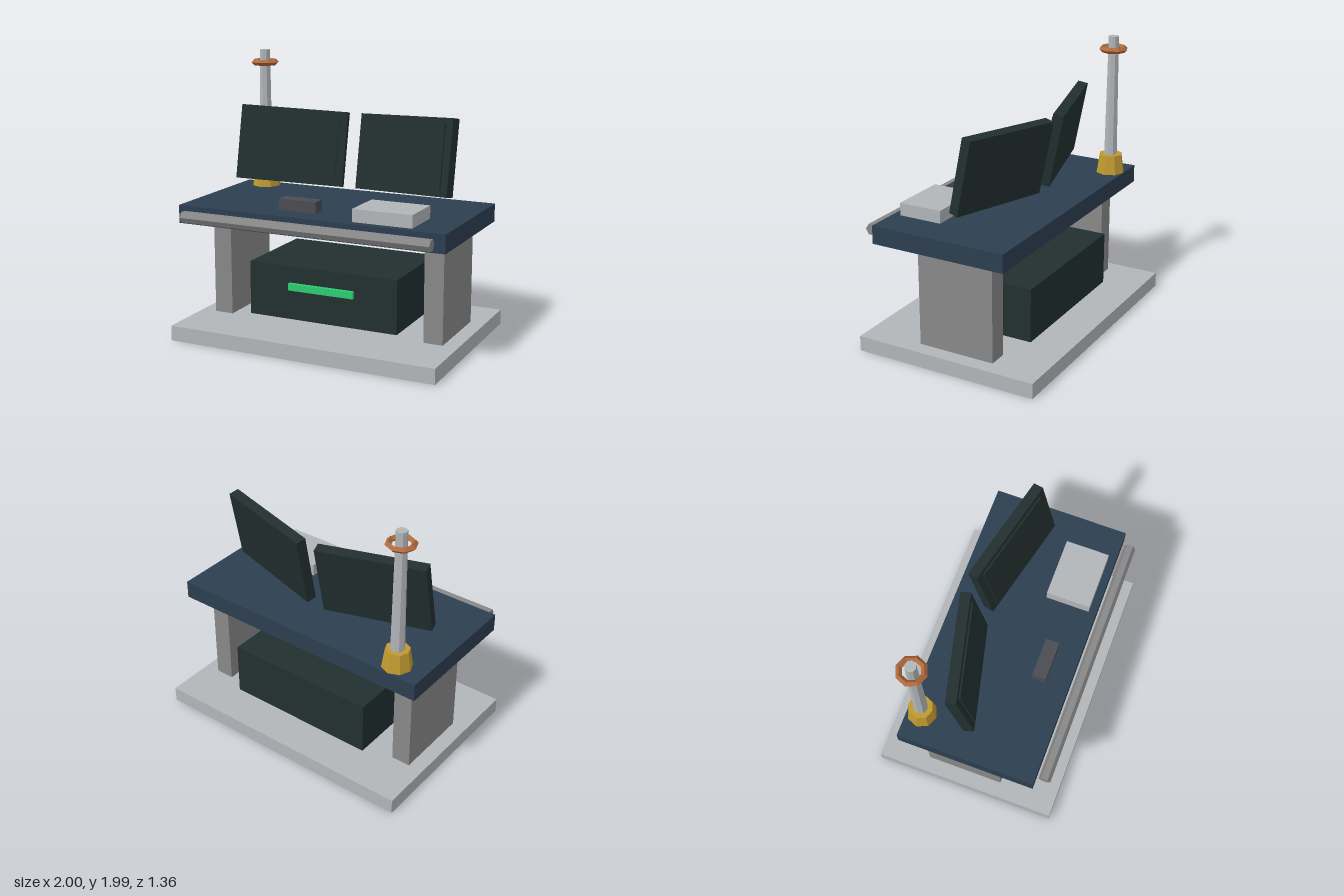
import * as THREE from 'three';

const mat = (name, color) => Object.assign(new THREE.MeshStandardMaterial({ color, flatShading: true }), { name });

export function createModel() {
  const root = new THREE.Group();
  root.name = 'workstation';

  const lightGrey = mat('light grey', 0xb2b5b9);
  const midGrey = mat('mid grey', 0x888888);
  const navy = mat('navy', 0x2c3e50);
  const dark = mat('dark green grey', 0x222f2f);
  const charcoal = mat('charcoal', 0x4a4c52);
  const green = mat('green', 0x2ecc71);
  const brass = mat('brass', 0xc09a30);
  const copper = mat('copper', 0xb06a3b);

  const add = (name, geo, material, x, y, z, parent = root) => {
    const m = new THREE.Mesh(geo, material);
    m.name = name;
    m.position.set(x, y, z);
    parent.add(m);
    return m;
  };
  // box given by its min and max on each axis
  const box = (name, material, [x0, x1], [y0, y1], [z0, z1]) =>
    add(name, new THREE.BoxGeometry(x1 - x0, y1 - y0, z1 - z0), material,
      (x0 + x1) / 2, (y0 + y1) / 2, (z0 + z1) / 2);

  // Desk structure
  box('basePlate', lightGrey, [-1, 1], [0, 0.11], [-0.68, 0.68]);
  box('rightLeg', midGrey, [-0.89, -0.75], [0.11, 0.84], [-0.32, 0.25]);
  box('leftLeg', midGrey, [0.75, 0.89], [0.11, 0.84], [-0.32, 0.25]);
  box('deskTop', navy, [-1, 1], [0.83, 0.96], [-0.465, 0.535]);

  // Cabinet under the desk
  box('cabinet', dark, [-0.57, 0.57], [0.15, 0.54], [-0.43, 0.29]);
  box('cabinetLight', green, [-0.25, 0.25], [0.37, 0.42], [0.285, 0.32]);

  // Six-sided rail along the front edge
  const rail = add('frontRail', new THREE.CylinderGeometry(0.043, 0.043, 1.86, 6), midGrey, 0, 0.895, 0.595);
  rail.rotation.z = Math.PI / 2;

  // Items on the desk
  box('tray', lightGrey, [0.32, 0.75], [0.96, 1.05], [0.16, 0.48]);
  box('smallBox', charcoal, [-0.29, -0.005], [0.96, 1.04], [0.27, 0.37]);

  // Two monitors, tilted back and turned inward
  for (const [name, side] of [['rightMonitor', -1], ['leftMonitor', 1]]) {
    const monitor = new THREE.Group();
    monitor.name = name;
    monitor.position.set(side * 0.446, 1.322, -0.143);
    monitor.rotation.set(-0.2, -side * 0.25, 0);
    add('monitorCase', new THREE.BoxGeometry(0.79, 0.54, 0.075), dark, 0, 0, 0, monitor);
    add('screen', new THREE.BoxGeometry(0.68, 0.46, 0.02), dark, 0, 0, 0.039, monitor);
    root.add(monitor);
  }

  // Mast with a brass foot and a copper ring
  const mast = new THREE.Group();
  mast.name = 'mast';
  mast.position.set(-0.788, 0, -0.36);
  add('mastFoot', new THREE.CylinderGeometry(0.086, 0.107, 0.14, 8), brass, 0, 1.03, 0, mast);
  add('mastPole', new THREE.CylinderGeometry(0.039, 0.05, 0.93, 8), lightGrey, 0, 1.525, 0, mast);
  const ring = add('mastRing', new THREE.TorusGeometry(0.085, 0.022, 4, 8), copper, 0, 1.896, 0, mast);
  ring.rotation.x = Math.PI / 2;
  root.add(mast);

  return root;
}
